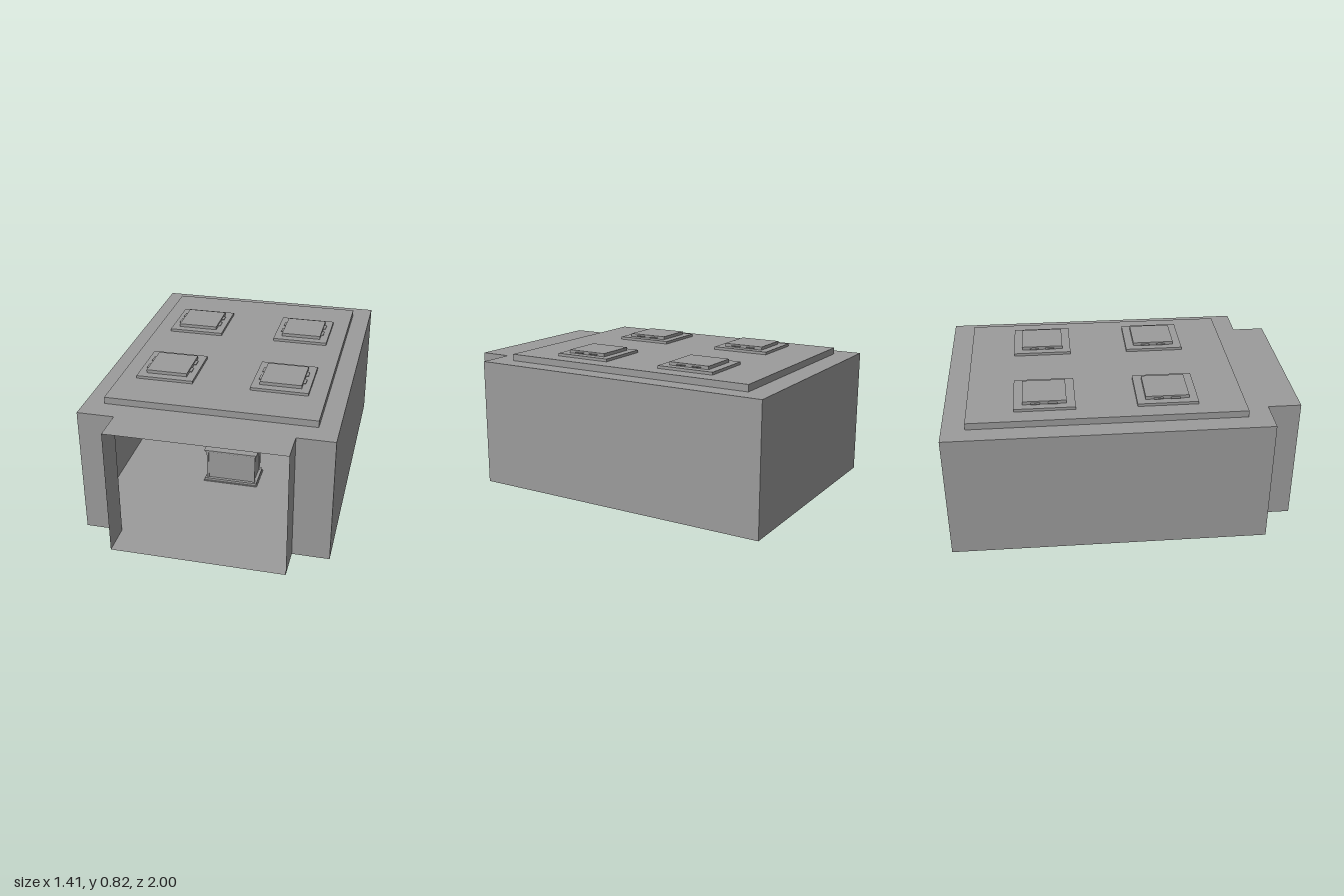
import * as THREE from 'three';

const grey = new THREE.MeshStandardMaterial({ color: 0x9b9b9b, flatShading: true });
const shellGrey = new THREE.MeshStandardMaterial({ color: 0x9b9b9b, flatShading: true, side: THREE.DoubleSide });

// Box given by centre x/z, bottom y and size
function block(parent, name, x, y, z, w, h, d) {
  const mesh = new THREE.Mesh(new THREE.BoxGeometry(w, h, d), grey);
  mesh.name = name;
  mesh.position.set(x, y + h / 2, z);
  parent.add(mesh);
}

// Thin-walled room: floor, ceiling and walls along the plan, open at the front
function makeRoom() {
  const room = new THREE.Group();
  room.name = 'room';
  const height = 0.745;
  const plan = [
    [0.495, 1], [0.495, 0.812], [0.706, 0.812], [0.706, -1],
    [-0.706, -1], [-0.706, 0.812], [-0.495, 0.812], [-0.495, 1],
  ];
  const slab = new THREE.ShapeGeometry(new THREE.Shape(plan.map(([x, z]) => new THREE.Vector2(x, -z))));
  slab.rotateX(-Math.PI / 2);
  for (const [name, y] of [['floor', 0], ['ceiling', height]]) {
    const mesh = new THREE.Mesh(slab, shellGrey);
    mesh.name = name;
    mesh.position.y = y;
    room.add(mesh);
  }
  for (let i = 0; i < plan.length - 1; i++) {
    const [x0, z0] = plan[i];
    const [x1, z1] = plan[i + 1];
    const wall = new THREE.Mesh(new THREE.PlaneGeometry(Math.hypot(x1 - x0, z1 - z0), height), shellGrey);
    wall.name = 'wall';
    wall.position.set((x0 + x1) / 2, height / 2, (z0 + z1) / 2);
    wall.rotation.y = Math.atan2(z1 - z0, x0 - x1);
    room.add(wall);
  }
  return room;
}

// Roof hatch: curb, lid and two small tabs on either side
function makeHatch(x, z) {
  const hatch = new THREE.Group();
  hatch.name = 'roofHatch';
  hatch.position.set(x, 0.784, z);
  block(hatch, 'curb', 0, 0, 0, 0.33, 0.016, 0.342);
  block(hatch, 'lid', 0, 0.016, 0, 0.238, 0.019, 0.245);
  for (const side of [-1, 1]) {
    for (const dz of [-0.05, 0.046]) {
      block(hatch, 'tab', side * 0.126, 0.022, dz, 0.016, 0.004, 0.052);
    }
  }
  return hatch;
}

// Counter: stepped base, recessed body between corner posts, stepped top
function makeCounter() {
  const counter = new THREE.Group();
  counter.name = 'counter';
  counter.position.z = 0.105;
  const w = 0.304, d = 0.169;
  block(counter, 'baseFoot', 0, 0, 0, w + 0.032, 0.006, d + 0.032);
  block(counter, 'baseMoulding', 0, 0.006, 0, w + 0.022, 0.014, d + 0.022);
  block(counter, 'body', 0, 0.02, 0, w - 0.014, 0.182, d - 0.014);
  for (const sx of [-1, 1]) {
    for (const sz of [-1, 1]) {
      block(counter, 'cornerPost', sx * (w / 2 - 0.006), 0.02, sz * (d / 2 - 0.006), 0.012, 0.182, 0.012);
    }
  }
  block(counter, 'topRail', 0, 0.198, 0, w, 0.007, d);
  block(counter, 'topMoulding', 0, 0.205, 0, w + 0.012, 0.009, d + 0.012);
  block(counter, 'counterTop', 0, 0.214, 0, w + 0.024, 0.006, d + 0.024);
  return counter;
}

export function createModel() {
  const model = new THREE.Group();
  model.name = 'building';
  model.add(makeRoom());
  // Raised roof deck with four hatches
  block(model, 'roofDeck', 0, 0.745, -0.095, 1.19, 0.039, 1.55);
  for (const x of [-0.331, 0.331]) {
    for (const z of [-0.438, 0.246]) model.add(makeHatch(x, z));
  }
  model.add(makeCounter());
  return model;
}
